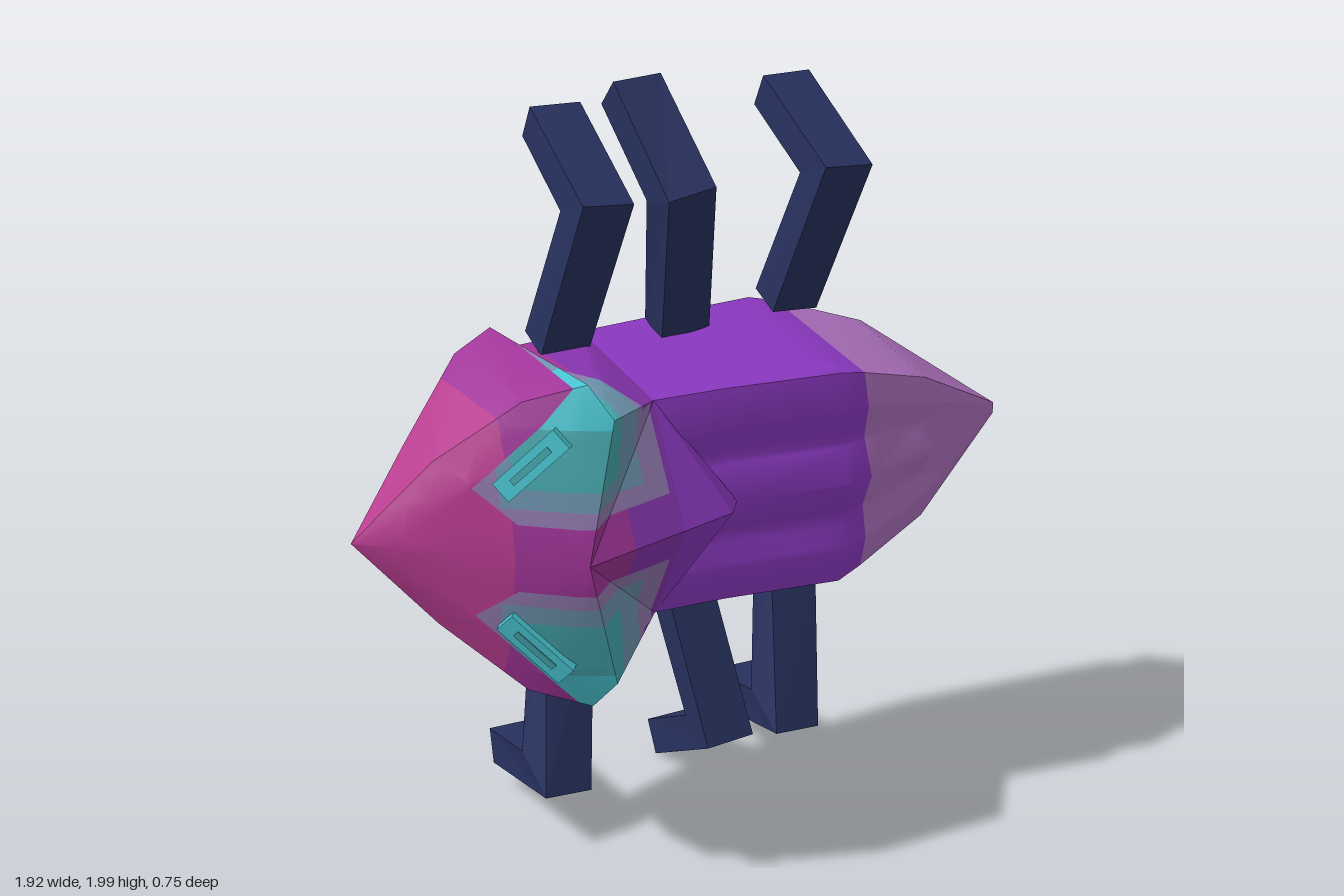
import * as THREE from 'three';
import { toCreasedNormals } from 'three/addons/utils/BufferGeometryUtils.js';

const MID = 0.975; // height of the symmetry plane
const palette = {
  pink: 0xb83c90, magenta: 0xa03498, plum: 0x8634ae, purple: 0x8a38c0, mauve: 0xac70bc,
  lavender: 0x9078ac, slate: 0x6c92ac, teal: 0x45a6ac, cyan: 0x48c4d0, navy: 0x27315e,
};
const names = Object.keys(palette);

// Planes [nx, ny, nz, d] along which the shell colours change
const axisCuts = (axis, values) => values.map((v) => [...[0, 1, 2].map((i) => (i === axis ? 1 : 0)), v]);
const cuts = [
  ...axisCuts(0, [-0.72, -0.67, -0.65, -0.64, -0.42, -0.38, -0.36, -0.29, -0.22, -0.2, 0.4]),
  ...axisCuts(1, [0.09, 0.13, 0.18, 0.3, 0.33]),
  ...axisCuts(2, [-0.17, -0.05, 0.05, 0.14]),
  [-1.1, 1, 0, 0.965], [1, 1, 0, -0.55], [1, 0, -0.5, -0.36],
];

// Nested bands around the eye
function patchColour(x, y, z) {
  const inside = x > -0.72 && x < -0.22 && y > 0.09 && z > -0.17
    && y < 0.965 + 1.1 * x && x + y > -0.55 && (y < 0.3 || x < -0.36 + 0.5 * z);
  if (!inside) return null;
  if (x > -0.64 && x < -0.38 && y > 0.18 && z > 0.14) return y > 0.33 && x < -0.42 ? 'cyan' : 'teal';
  if (x > -0.67 && x < -0.29 && y > 0.13 && z > 0.05) return 'slate';
  return z > -0.05 ? 'lavender' : 'mauve';
}

function colourAt(x, y, z) {
  const patch = patchColour(x, y, z);
  if (patch) return patch;
  if (x < -0.65) return 'pink';
  if (x < -0.36) return 'magenta';
  if (x < -0.2) return 'plum';
  return x < 0.4 ? 'purple' : 'mauve';
}

// Split a convex polygon by a plane
function split(poly, [a, b, c, d]) {
  const sides = [[], []];
  poly.forEach((p, i) => {
    const q = poly[(i + 1) % poly.length];
    const dp = a * p.x + b * p.y + c * p.z - d, dq = a * q.x + b * q.y + c * q.z - d;
    if (dp >= -1e-6) sides[0].push(p);
    if (dp <= 1e-6) sides[1].push(p);
    if (dp * dq < 0 && Math.abs(dp) > 1e-6 && Math.abs(dq) > 1e-6) {
      const m = p.clone().lerp(q, dp / (dp - dq));
      sides[0].push(m);
      sides[1].push(m);
    }
  });
  return sides.filter((s) => s.length > 2);
}

// Mirrored shell from the faces of one half, wound outward from a centre
function shell(name, faces, centre, mats, crease) {
  const byColour = names.map(() => []);
  const add = (list, a, b, c) => {
    const n = b.clone().sub(a).cross(c.clone().sub(a));
    if (n.length() < 1e-8) return;
    const mid = a.clone().add(b).add(c).divideScalar(3);
    const order = n.dot(mid.sub(centre)) > 0 ? [a, b, c] : [a, c, b];
    for (const p of order) list.push(p.x, p.y + MID, p.z);
    for (const p of order.reverse()) list.push(p.x, MID - p.y, p.z);
  };
  for (const face of faces) {
    const v = face.map((p) => new THREE.Vector3(...p));
    for (let i = 1; i < v.length - 1; i++) {
      let pieces = [[v[0], v[i], v[i + 1]]];
      for (const cut of cuts) pieces = pieces.flatMap((p) => split(p, cut));
      for (const p of pieces) {
        const m = p.reduce((s, q) => s.add(q), new THREE.Vector3()).divideScalar(p.length);
        const list = byColour[names.indexOf(colourAt(m.x, m.y, m.z))];
        for (let k = 1; k < p.length - 1; k++) add(list, p[0], p[k], p[k + 1]);
      }
    }
  }
  const geo = new THREE.BufferGeometry();
  geo.setAttribute('position', new THREE.Float32BufferAttribute(byColour.flat(), 3));
  let start = 0;
  byColour.forEach((list, i) => {
    if (list.length) geo.addGroup(start, list.length / 3, i);
    start += list.length / 3;
  });
  const mesh = new THREE.Mesh(toCreasedNormals(geo, crease), names.map((n) => mats[n]));
  mesh.name = name;
  return mesh;
}

function headAndShield(mats) {
  const T = [-0.965, 0, -0.04];                                                         // snout
  const A1 = [-0.78, 0.22, 0.06], A2 = [-0.6, 0.39, 0.2], A3 = [-0.46, 0.435, 0.28];    // outer rim
  const B1 = [-0.72, 0.19, 0.155], B2 = [-0.55, 0.3, 0.28];                             // inner rim
  const C1 = [-0.78, 0.2, -0.12], C2 = [-0.6, 0.39, -0.19], C3 = [-0.49, 0.435, -0.21]; // belly rim
  const R0 = [-0.51, 0, 0.375], R1 = [-0.42, 0.355, 0.34];                              // crest
  const S0 = [-0.04, 0, 0.255], S1 = [-0.2, 0.295, 0.13], W0 = [0.01, 0, 0.19];         // shield point
  const E1 = [-0.43, 0.355, -0.25], E2 = [-0.2, 0.355, -0.27];
  const D0 = [-0.55, 0, -0.21], D1 = [-0.43, 0, -0.25], D2 = [-0.2, 0, -0.27];
  const faces = [
    [R0, R1, B2, B1, T],
    [T, B1, A1], [B1, B2, A2, A1], [B2, R1, A3, A2],
    [T, A1, C1], [A1, A2, C2, C1], [A2, A3, C3, C2],
    [A3, R1, E1, C3],
    [R0, R1, S1, S0], [S1, W0, S0], [R1, E1, E2, S1],
    [D0, T, C1, C2, C3], [D0, C3, E1, D1], [D1, E1, E2, D2],
  ];
  return shell('headAndShield', faces, new THREE.Vector3(-0.5, 0, 0), mats, 0.5);
}

function abdomen(mats) {
  // x, belly half width, back half width, belly z, back z
  const stations = [
    [-0.2, 0.355, 0.295, -0.27, 0.18], [0, 0.355, 0.295, -0.28, 0.195],
    [0.32, 0.355, 0.295, -0.29, 0.245], [0.4, 0.335, 0.275, -0.28, 0.222],
    [0.63, 0.26, 0.2, -0.21, 0.15], [0.96, 0.018, 0.016, -0.1, -0.03],
  ];
  const rings = stations.map(([x, hb, hd, zb, zt]) => {
    const w = hd / 0.295; // depth of the grooves along the back
    return [[x, 0, zt], [x, hd * 0.35, zt - 0.045 * w], [x, hd * 0.68, zt - 0.025 * w],
      [x, hd, zt - 0.05 * w], [x, hb, zb], [x, 0, zb]];
  });
  const faces = [rings[rings.length - 1]];
  for (let i = 0; i < rings.length - 1; i++) {
    for (let j = 0; j < 5; j++) {
      faces.push([rings[i][j], rings[i + 1][j], rings[i + 1][j + 1], rings[i][j + 1]]);
    }
  }
  return shell('abdomen', faces, new THREE.Vector3(0.2, 0, -0.05), mats, 0.9);
}

// Square bent leg with a mitred knee
function leg(name, points, mat) {
  const [a, k, e] = points.map((p) => new THREE.Vector3(...p));
  const d1 = k.clone().sub(a).normalize(), d2 = e.clone().sub(k).normalize();
  const bend = d1.clone().add(d2).normalize();
  const verts = [];
  [[a, d1, 1], [k, bend, 1 / bend.dot(d1)], [e, d2, 1]].forEach(([p, d, stretch]) => {
    const w = new THREE.Vector3(1, 0, 0).addScaledVector(d, -d.x).normalize();
    const n = d.clone().cross(w).multiplyScalar(0.05 * stretch);
    w.multiplyScalar(0.07);
    for (const [s, t] of [[-1, -1], [1, -1], [1, 1], [-1, 1]]) {
      verts.push(...p.clone().addScaledVector(w, s).addScaledVector(n, t).toArray());
    }
  });
  const index = [0, 2, 1, 0, 3, 2, 8, 9, 10, 8, 10, 11];
  for (const r of [0, 4]) {
    for (let i = 0; i < 4; i++) {
      const p = r + i, q = r + ((i + 1) % 4);
      index.push(p, q, q + 4, p, q + 4, p + 4);
    }
  }
  const geo = new THREE.BufferGeometry();
  geo.setAttribute('position', new THREE.Float32BufferAttribute(verts, 3));
  geo.setIndex(index);
  const flat = geo.toNonIndexed();
  flat.computeVertexNormals();
  const mesh = new THREE.Mesh(flat, mat);
  mesh.name = name;
  return mesh;
}

// Slanted eye bar with a darker slot, s = side
function eye(s, mats) {
  const group = new THREE.Group();
  group.name = s > 0 ? 'upperEye' : 'lowerEye';
  const n = new THREE.Vector3(-0.65, 0.15 * s, 0.75).normalize();
  const u = new THREE.Vector3(0.14, 0.16 * s, 0.09);
  u.addScaledVector(n, -u.dot(n)).normalize();
  const v = n.clone().cross(u);
  const bar = new THREE.Mesh(new THREE.BoxGeometry(0.21, 0.06, 0.035), mats.cyan);
  bar.name = 'eyeBar';
  const slot = new THREE.Mesh(new THREE.BoxGeometry(0.13, 0.018, 0.006), mats.teal);
  slot.name = 'eyeSlot';
  slot.position.z = 0.018;
  group.add(bar, slot);
  group.quaternion.setFromRotationMatrix(new THREE.Matrix4().makeBasis(u, v, n));
  group.position.set(-0.6, MID + 0.245 * s, 0.252);
  return group;
}

export function createModel() {
  const mats = {};
  for (const n of names) {
    mats[n] = new THREE.MeshStandardMaterial({ color: palette[n] });
    mats[n].name = n;
  }
  const model = new THREE.Group();
  model.name = 'beetle';
  model.add(headAndShield(mats), abdomen(mats), eye(1, mats), eye(-1, mats));

  const legs = {
    upperFrontLeg: [[-0.3, 1.34, -0.21], [-0.265, 1.74, -0.04], [-0.245, 1.895, -0.33]],
    upperMiddleLeg: [[0.055, 1.33, -0.21], [-0.025, 1.74, -0.04], [-0.04, 1.96, -0.28]],
    upperRearLeg: [[0.39, 1.34, -0.21], [0.435, 1.74, -0.04], [0.44, 1.89, -0.33]],
    lowerFrontLeg: [[-0.3, 0.59, -0.21], [-0.41, 0.19, -0.04], [-0.38, 0.125, -0.36]],
    lowerMiddleLeg: [[0.055, 0.6, -0.21], [0.09, 0.2, -0.04], [0.1, 0.05, -0.32]],
    lowerRearLeg: [[0.395, 0.6, -0.21], [0.3, 0.2, -0.04], [0.325, 0.135, -0.36]],
  };
  for (const [name, pts] of Object.entries(legs)) model.add(leg(name, pts, mats.navy));
  return model;
}
